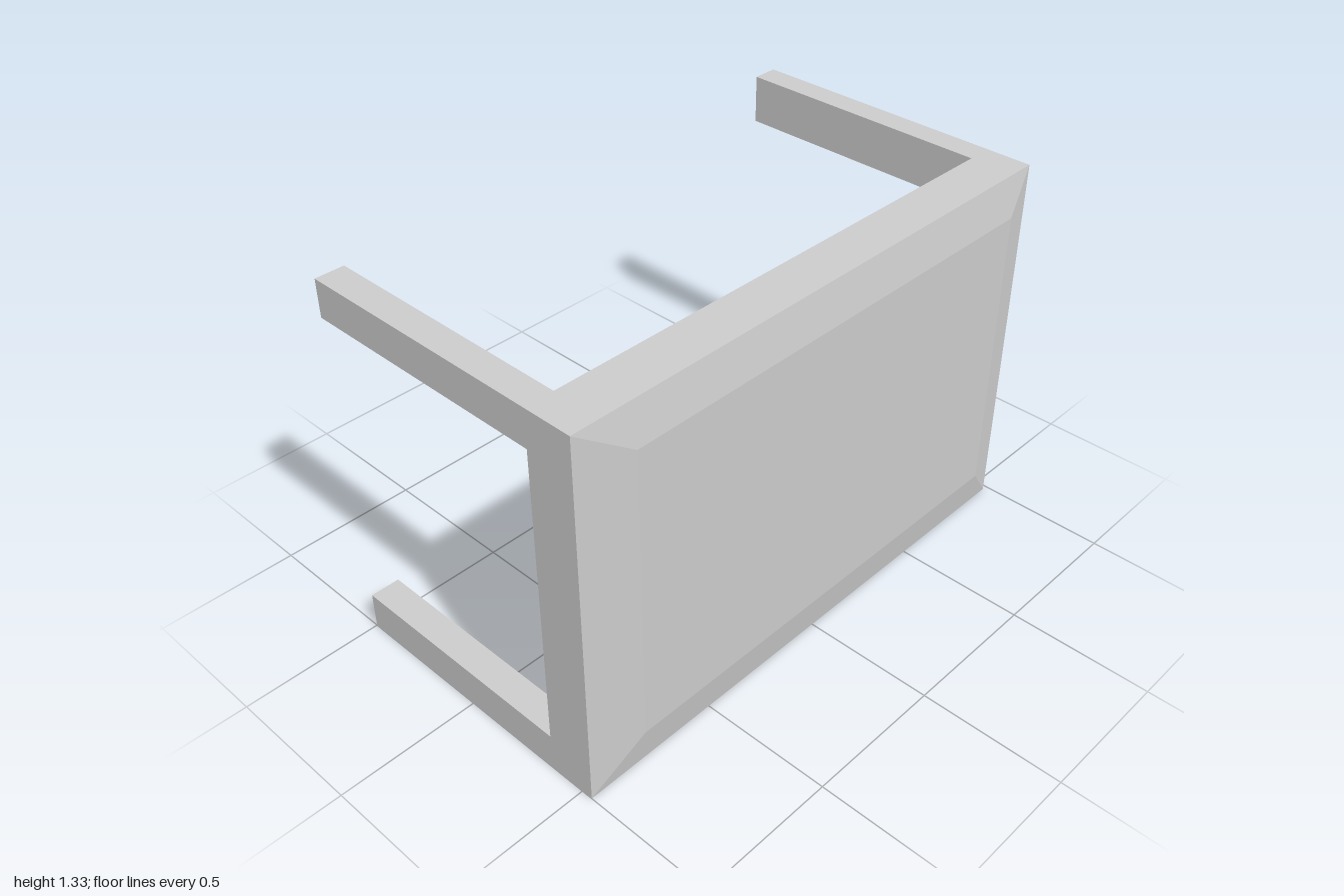
import * as THREE from 'three';

const material = new THREE.MeshStandardMaterial({ color: 0xcccccc, flatShading: true });

// Joins cross-sections, listed from back to front, each counter-clockwise seen from +z.
function loft(name, sections) {
  const n = sections[0].length;
  const last = (sections.length - 1) * n;
  const index = [];
  for (let s = 0; s < last; s += n) {
    for (let i = 0; i < n; i++) {
      const j = (i + 1) % n;
      index.push(s + i, s + j, s + n + j, s + i, s + n + j, s + n + i);
    }
  }
  for (let i = 1; i < n - 1; i++) {
    index.push(0, i + 1, i, last, last + i, last + i + 1);
  }
  const indexed = new THREE.BufferGeometry();
  indexed.setAttribute('position', new THREE.Float32BufferAttribute(sections.flat(2), 3));
  indexed.setIndex(index);
  const geometry = indexed.toNonIndexed();
  geometry.computeVertexNormals();
  const mesh = new THREE.Mesh(geometry, material);
  mesh.name = name;
  return mesh;
}

// Rectangle whose depth may differ between its left and right edges.
const rect = (x0, x1, y0, y1, z0, z1 = z0) =>
  [[x0, y0, z0], [x1, y0, z1], [x1, y1, z1], [x0, y1, z0]];

// Rectangle with its upper outer corner cut off.
const cutRect = (x0, x1, xTop, ySide, yTop, z) =>
  [[x0, 0, z], [x1, 0, z], [x1, ySide, z], [xTop, yTop, z], [x0, yTop, z]];

export function createModel() {
  const table = new THREE.Group();
  table.name = 'overturnedTable';

  // Upright slab with a shallow bevelled face
  table.add(loft('tabletop', [
    rect(-1, 0.98, 0, 1.33, 0.37, 0.38),
    rect(-1, 0.98, 0, 1.33, 0.54),
    rect(-0.8, 0.87, 0.14, 1.19, 0.565),
  ]));

  // Three slender straight legs: x range, y range, back end
  const legs = [
    ['upperRightLeg', -1, -0.9, 1.2, 1.33, -0.52],
    ['lowerRightLeg', -1, -0.895, 0, 0.134, -0.5],
    ['upperLeftLeg', 0.89, 0.98, 1.16, 1.33, -0.545],
  ];
  for (const [name, x0, x1, y0, y1, zEnd] of legs) {
    table.add(loft(name, [rect(x0, x1, y0, y1, zEnd), rect(x0, x1, y0, y1, 0.38)]));
  }

  // Thick tapering leg that runs through the slab corner
  table.add(loft('lowerLeftLeg', [
    cutRect(0.8, 1, 0.999, 0.194, 0.195, -0.565),
    cutRect(0.8, 1, 0.98, 0.2, 0.245, 0.39),
    cutRect(0.8, 0.98, 0.979, 0.244, 0.245, 0.54),
  ]));
  return table;
}
